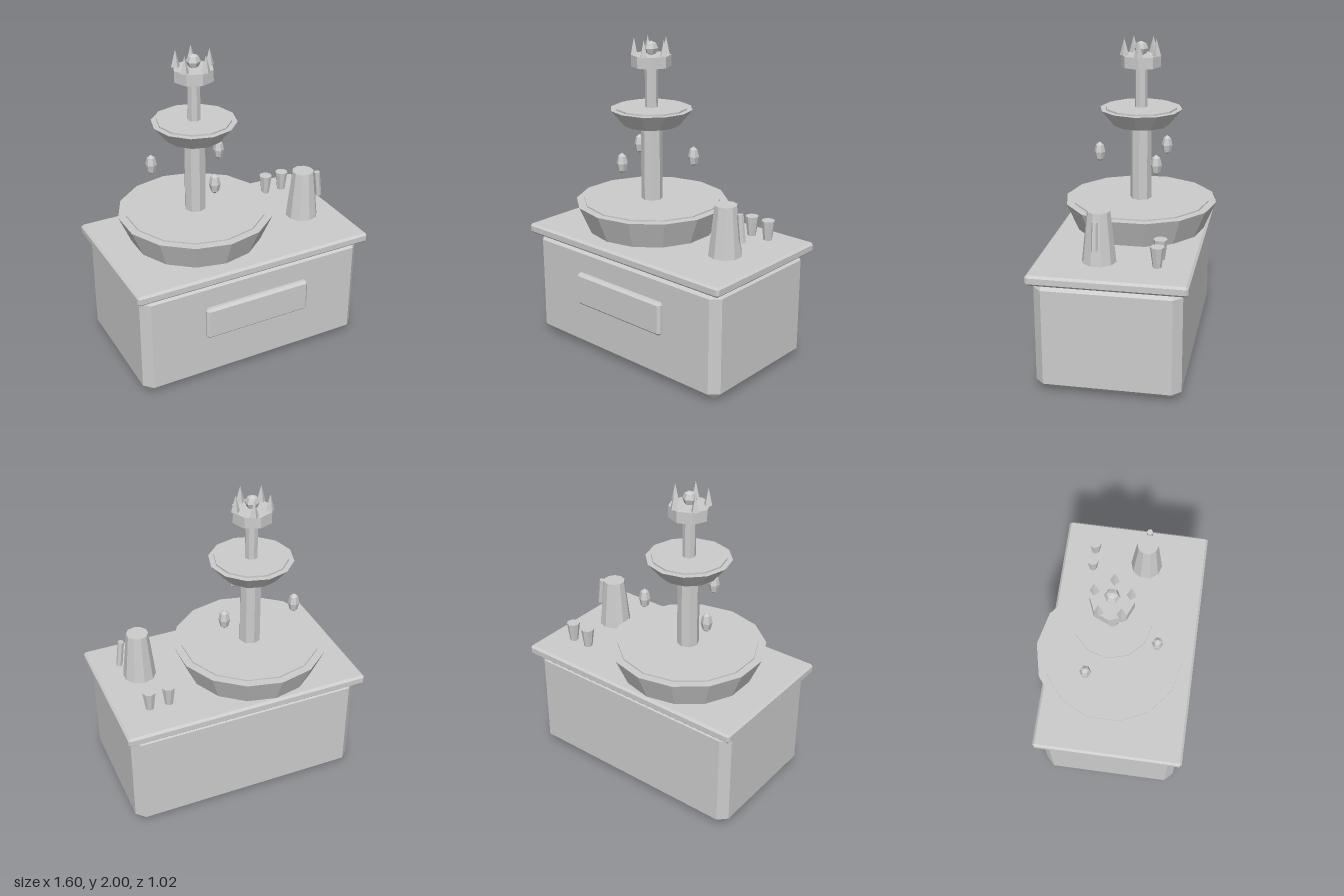
import * as THREE from 'three';
import { ConvexGeometry } from 'three/addons/geometries/ConvexGeometry.js';

export function createModel() {
  const model = new THREE.Group();
  model.name = 'fountainStand';
  const stone = new THREE.MeshStandardMaterial({ color: 0xcccccc, flatShading: true });
  stone.name = 'plain grey';

  const add = (name, geometry, x, y, z, parent = model) => {
    const mesh = new THREE.Mesh(geometry, stone);
    mesh.name = name;
    mesh.position.set(x, y, z);
    parent.add(mesh);
    return mesh;
  };

  // Box with every edge cut at 45 degrees
  const chamferBox = (w, h, d, c) => {
    const points = [];
    for (const sx of [-1, 1]) for (const sy of [-1, 1]) for (const sz of [-1, 1]) {
      const [x, y, z] = [sx * w / 2, sy * h / 2, sz * d / 2];
      points.push(
        new THREE.Vector3(x, y - sy * c, z - sz * c),
        new THREE.Vector3(x - sx * c, y, z - sz * c),
        new THREE.Vector3(x - sx * c, y - sy * c, z));
    }
    return new ConvexGeometry(points);
  };

  // Upright cylinder or cone frustum between two heights
  const frustum = (name, rTop, rBottom, y0, y1, sides, x, z, parent = model) =>
    add(name, new THREE.CylinderGeometry(rTop, rBottom, y1 - y0, sides), x, (y0 + y1) / 2, z, parent);

  // Cabinet, worktop and front plaque
  add('cabinet', chamferBox(1.53, 0.72, 0.89, 0.054), -0.003, 0.36, 0.026);
  add('worktop', chamferBox(1.6, 0.064, 0.96, 0.014), -0.004, 0.736, 0.023);
  add('frontPlaque', chamferBox(0.714, 0.215, 0.05, 0.016), -0.002, 0.432, 0.485);

  // Tiered fountain
  const fountain = new THREE.Group();
  fountain.name = 'fountain';
  fountain.position.set(-0.181, 0, -0.018);
  model.add(fountain);
  const tier = (name, ...args) => frustum(name, ...args, 0, 0, fountain);
  tier('lowerBasin', 0.495, 0.418, 0.767, 0.947, 14);
  tier('lowerWater', 0.444, 0.444, 0.92, 0.956, 14);
  tier('lowerColumn', 0.069, 0.069, 0.9, 1.47, 8);
  tier('upperBasin', 0.264, 0.18, 1.45, 1.553, 12);
  tier('upperWater', 0.23, 0.23, 1.53, 1.564, 12);
  tier('upperColumn', 0.041, 0.041, 1.55, 1.84, 8);
  tier('crownBand', 0.126, 0.126, 1.822, 1.894, 8);

  // Crown spikes and centre ball
  for (let i = 0; i < 5; i++) {
    const a = i * Math.PI * 2 / 5;
    add('crownSpike', new THREE.ConeGeometry(0.029, 0.106, 4),
      0.107 * Math.cos(a), 1.947, 0.107 * Math.sin(a), fountain);
  }
  add('crownBall', new THREE.SphereGeometry(0.045, 6, 4), 0, 1.935, 0, fountain).rotation.y = Math.PI / 6;

  // Three drops hanging around the column
  for (let i = 0; i < 3; i++) {
    const a = Math.PI / 2 + i * Math.PI * 2 / 3;
    const drop = add('waterDrop', new THREE.SphereGeometry(0.036, 6, 4),
      0.272 * Math.cos(a), 1.251, 0.272 * Math.sin(a), fountain);
    drop.scale.y = 1.85;
    drop.rotation.y = Math.PI / 6;
  }

  // Pitcher with its handle
  frustum('pitcher', 0.07, 0.105, 0.786, 1.104, 10, 0.533, 0.11);
  add('pitcherHandle', new THREE.CylinderGeometry(0.02, 0.02, 0.174, 6), 0.651, 0.983, 0.11).rotation.z = 0.12;

  // Pair of cups at the back
  for (const x of [0.463, 0.588]) frustum('cup', 0.043, 0.027, 0.794, 0.921, 8, x, -0.247);

  return model;
}
